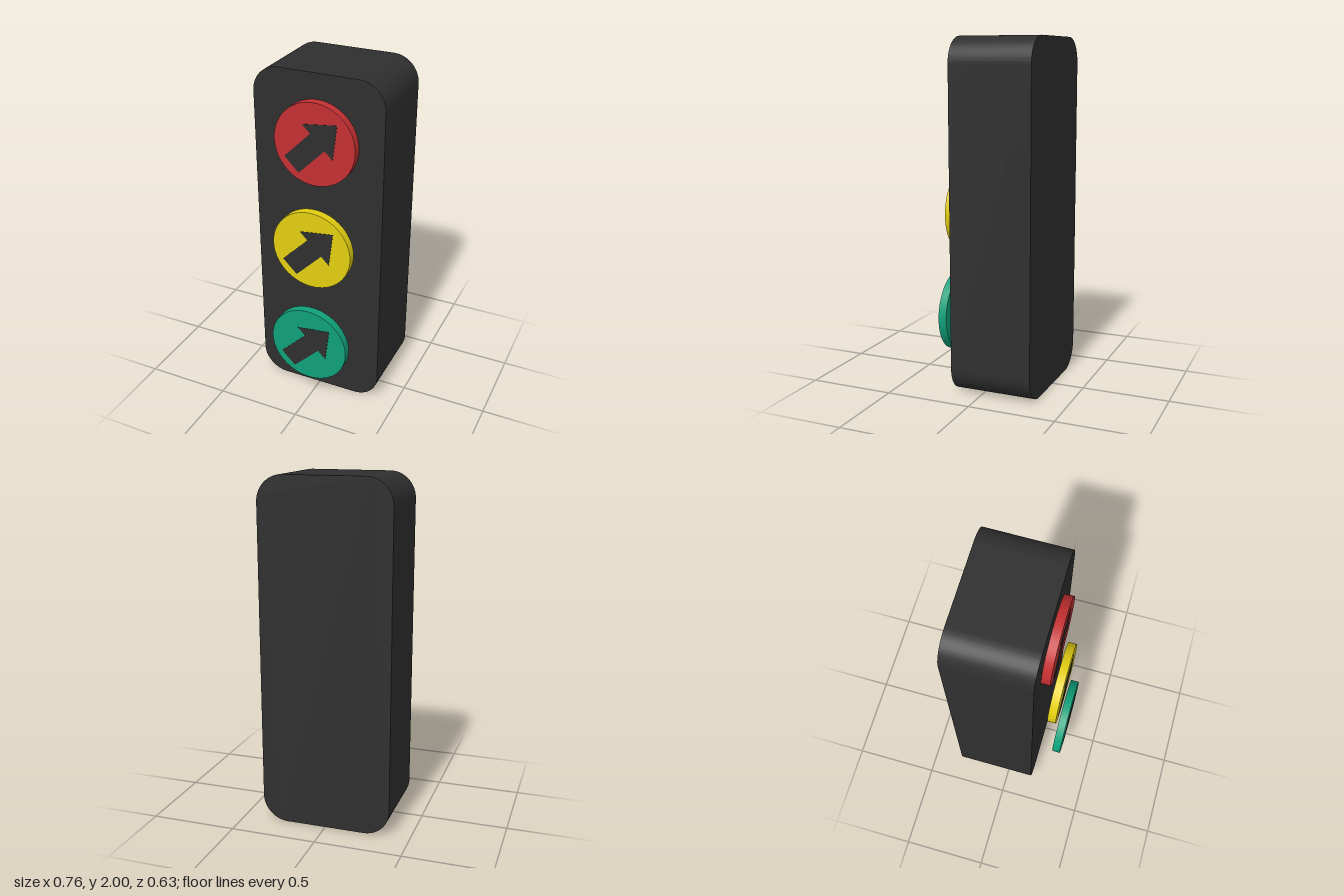
import * as THREE from 'three';
import { toCreasedNormals } from 'three/addons/utils/BufferGeometryUtils.js';

const material = (color) => new THREE.MeshStandardMaterial({ color });

// Extrudes a shape from z = back to z = front, smooth on curves and sharp on rims
function slab(name, shape, back, front, mat) {
  const geometry = new THREE.ExtrudeGeometry(shape, {
    depth: front - back, bevelEnabled: false, curveSegments: 16,
  });
  geometry.translate(0, 0, back);
  const mesh = new THREE.Mesh(toCreasedNormals(geometry, 0.6), mat);
  mesh.name = name;
  return mesh;
}

function roundedRect(halfWidth, height, r) {
  const s = new THREE.Shape();
  s.moveTo(-halfWidth + r, 0);
  s.absarc(halfWidth - r, r, r, -Math.PI / 2, 0);
  s.absarc(halfWidth - r, height - r, r, 0, Math.PI / 2);
  s.absarc(-halfWidth + r, height - r, r, Math.PI / 2, Math.PI);
  s.absarc(-halfWidth + r, r, r, Math.PI, Math.PI * 1.5);
  return s;
}

// Arrow pointing to the upper right, mirrored across its diagonal
function arrowShape() {
  const half = [[-0.093, -0.177], [0.063, -0.021], [0.109, -0.068]];
  const mirrored = half.map(([x, y]) => [y, x]).reverse();
  return new THREE.Shape(
    [...half, [0.134, 0.134], ...mirrored].map(([x, y]) => new THREE.Vector2(x, y)));
}

export function createModel() {
  const model = new THREE.Group();
  model.name = 'trafficLight';
  const dark = material(0x2f2f2f);

  // Housing
  model.add(slab('housing', roundedRect(0.38, 2, 0.15), -0.313, 0.162, dark));

  // Lamps, each one standing a step further forward than the one above
  const lamps = [
    ['red', 0xc43032, 1.621, 0.162],
    ['yellow', 0xe3ce10, 1.002, 0.212],
    ['green', 0x10a17a, 0.383, 0.262],
  ];
  for (const [name, color, y, z] of lamps) {
    const lamp = new THREE.Group();
    lamp.name = name + 'Lamp';
    lamp.position.set(0, y, z);

    const disc = new THREE.Mesh(new THREE.CylinderGeometry(0.237, 0.237, 0.049, 64), material(color));
    disc.name = name + 'Disc';
    disc.rotation.x = Math.PI / 2;
    disc.position.z = 0.0245;

    lamp.add(disc, slab(name + 'Arrow', arrowShape(), 0.04, 0.051, dark));
    model.add(lamp);
  }
  return model;
}
